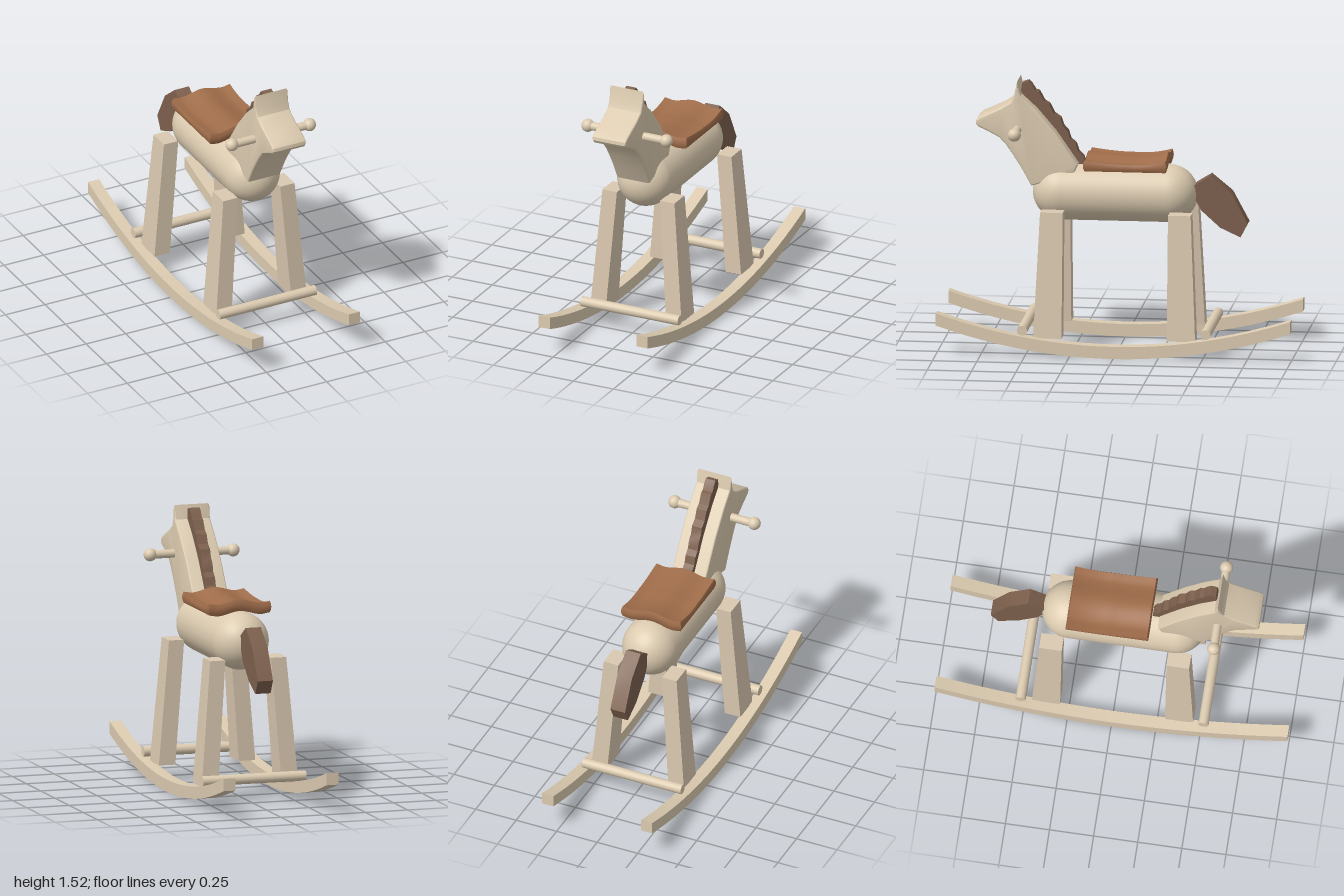
import * as THREE from 'three';
import { toCreasedNormals } from 'three/addons/utils/BufferGeometryUtils.js';

const wood = new THREE.MeshStandardMaterial({ color: 0xdccbb0 });
const legWood = new THREE.MeshStandardMaterial({ color: 0xdac8b0 });
const hair = new THREE.MeshStandardMaterial({ color: 0x7d604d });
const leather = new THREE.MeshStandardMaterial({ color: 0xa06d4a });

function add(parent, name, geometry, material, x = 0, y = 0, z = 0) {
  const mesh = new THREE.Mesh(geometry, material);
  mesh.name = name;
  mesh.position.set(x, y, z);
  parent.add(mesh);
  return mesh;
}

// Side profile given as [z, y] points, extruded symmetrically across x
function slab(points, width, bevel = 0) {
  const shape = new THREE.Shape(points.map(([z, y]) => new THREE.Vector2(z, y)));
  const depth = width - 2 * bevel;
  const g = new THREE.ExtrudeGeometry(shape, {
    depth, bevelEnabled: bevel > 0, bevelThickness: bevel, bevelSize: bevel,
    bevelOffset: -bevel, bevelSegments: 3,
  });
  g.translate(0, 0, -depth / 2).rotateY(-Math.PI / 2);
  return toCreasedNormals(g, 0.5);
}

const rod = (radius, length) =>
  new THREE.CylinderGeometry(radius, radius, length, 20).rotateZ(Math.PI / 2);

// Curved rocker with vertical ends
function rockerGeometry() {
  const n = 24, low = [], high = [];
  for (let i = 0; i <= n; i++) {
    const z = -1 + (2 * i) / n, y = 0.167 * z * z;
    low.push([z, y]);
    high.unshift([z, y + 0.07]);
  }
  return slab([...low, ...high], 0.07);
}

// Tapered leg, splayed outward; sx and sz choose the corner
function legGeometry(sx, sz) {
  const g = new THREE.BoxGeometry(1, 1, 1);
  const p = g.attributes.position;
  for (let i = 0; i < p.count; i++) {
    const top = p.getY(i) > 0;
    const outX = p.getX(i) * sx > 0, outZ = p.getZ(i) * sz > 0;
    const x = top ? (outX ? 0.225 : 0.135) : (outX ? 0.285 : 0.188);
    const z = top ? (outZ ? 0.425 : 0.297) : (outZ ? 0.457 : 0.297);
    p.setXYZ(i, sx * x, top ? 0.805 : 0.097, sz * z);
  }
  g.computeVertexNormals();
  return g;
}

// Saddle pad: raised along the middle, dished from front to back
function saddleGeometry() {
  const w = 0.185, l = 0.235;
  const g = new THREE.BoxGeometry(2, 2, 2, 28, 4, 16);
  const p = g.attributes.position;
  for (let i = 0; i < p.count; i++) {
    const u = p.getX(i), t = p.getY(i), v = p.getZ(i);
    const bump = 0.024 * (0.5 + 0.5 * Math.cos(Math.PI * Math.min(1, Math.abs(u) / 0.75)));
    const lip = 0.008 * Math.max(0, Math.abs(u) - 0.75) / 0.25;
    const dish = 0.028 * (v + 0.25) ** 2 * (v > 0 ? 0.5 : 1.6);
    const round = 1 - 0.035 * t * t;
    const y = 1.05 + 0.02 * t + bump + lip + (t + 1) / 2 * dish;
    p.setXYZ(i, u * w * round, y, v * l * round - 0.047);
  }
  return toCreasedNormals(g, 0.7);
}

export function createModel() {
  const model = new THREE.Group();
  model.name = 'rockingHorse';

  add(model, 'body', new THREE.CapsuleGeometry(0.163, 0.605, 16, 40).rotateX(Math.PI / 2),
    wood, 0, 0.887, 0.025);

  // Head and neck in one board
  add(model, 'head', slab([
    [0.49, 0.93], [0.543, 1.027], [0.596, 1.11], [0.635, 1.165], [0.67, 1.203],
    [0.75, 1.245], [0.79, 1.262], [0.803, 1.28], [0.8, 1.3], [0.778, 1.318],
    [0.66, 1.372], [0.605, 1.406], [0.588, 1.444], [0.57, 1.524], [0.55, 1.444],
    [0.4625, 1.364], [0.356, 1.24], [0.228, 1.055], [0.25, 1.0],
  ], 0.21, 0.012), wood);

  // Scalloped mane set into the back of the neck
  add(model, 'mane', slab([
    [0.56, 1.44], [0.548, 1.503], [0.516, 1.513], [0.497, 1.495], [0.475, 1.46],
    [0.455, 1.455], [0.425, 1.4], [0.395, 1.382], [0.37, 1.33], [0.333, 1.305],
    [0.318, 1.26], [0.291, 1.23], [0.277, 1.185], [0.247, 1.16], [0.232, 1.115],
    [0.205, 1.09], [0.188, 1.045], [0.26, 1.03], [0.37, 1.22], [0.48, 1.36],
  ], 0.06), hair);

  add(model, 'tail', slab([
    [-0.42, 0.94], [-0.45, 0.96], [-0.515, 1.0], [-0.633, 0.903], [-0.726, 0.73],
    [-0.685, 0.652], [-0.57, 0.705], [-0.465, 0.8], [-0.43, 0.86],
  ], 0.09), hair);

  add(model, 'saddle', saddleGeometry(), leather);

  // Handlebar with ball ends
  add(model, 'handlebar', rod(0.024, 0.48), wood, 0, 1.25, 0.568);
  for (const s of [1, -1]) {
    add(model, 'handleKnob', new THREE.SphereGeometry(0.037, 24, 16), wood, s * 0.245, 1.25, 0.568);
    add(model, 'rocker', rockerGeometry(), wood, s * 0.305, 0, 0);
    for (const e of [1, -1]) add(model, e > 0 ? 'frontLeg' : 'rearLeg', legGeometry(s, e), legWood);
  }

  // Crossbars joining the rockers
  for (const s of [1, -1]) add(model, 'crossbar', rod(0.029, 0.61), wood, 0, 0.142, s * 0.518);

  return model;
}
